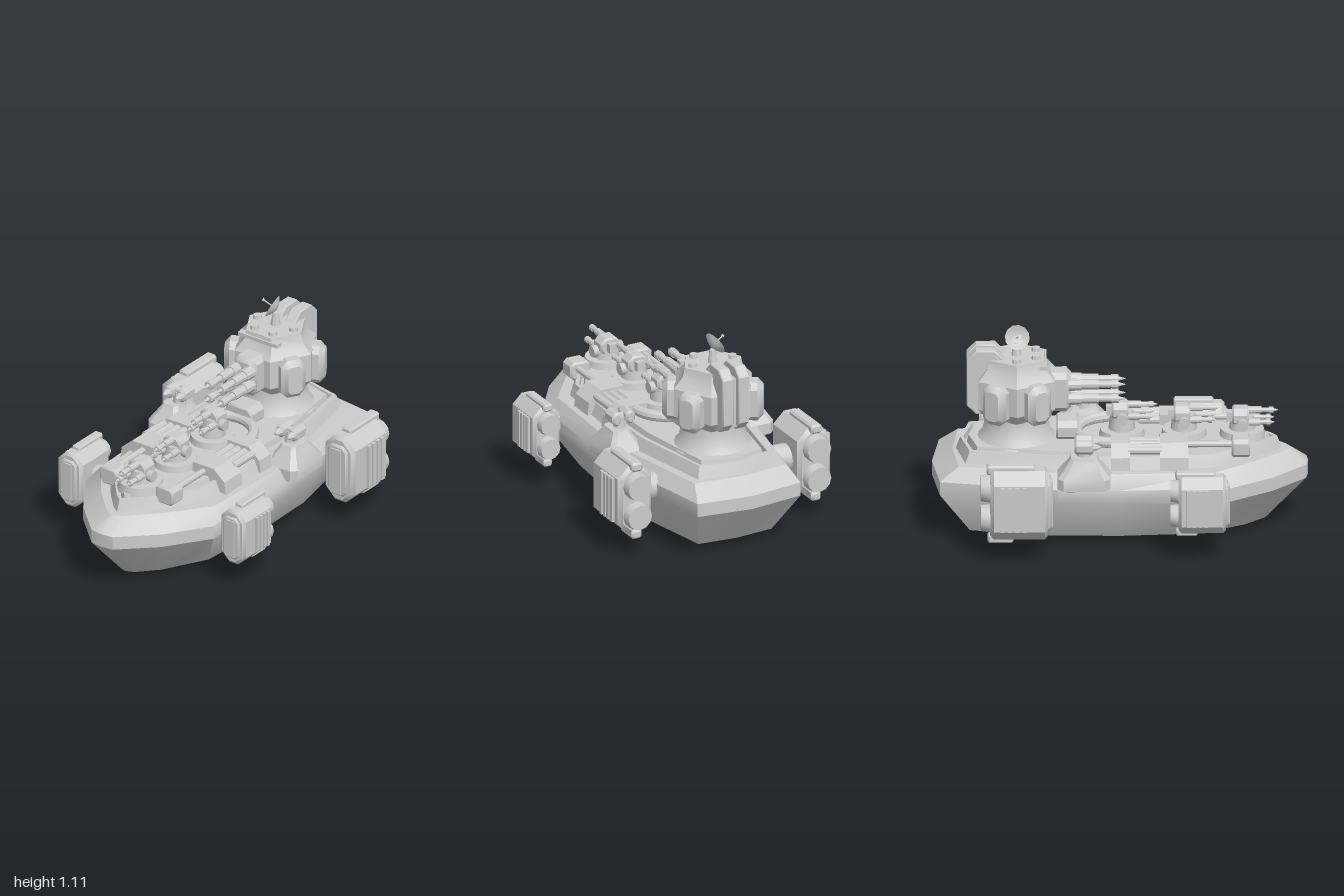
import * as THREE from 'three';
import { toCreasedNormals } from 'three/addons/utils/BufferGeometryUtils.js';

const material = new THREE.MeshStandardMaterial({ color: 0xcccccc, side: THREE.DoubleSide });

function add(parent, name, geo, x = 0, y = 0, z = 0) {
  const mesh = new THREE.Mesh(toCreasedNormals(geo, 0.6), material);
  mesh.name = name;
  mesh.position.set(x, y, z);
  parent.add(mesh);
  return mesh;
}
function group(parent, name, x = 0, y = 0, z = 0) {
  const g = new THREE.Group();
  g.name = name;
  g.position.set(x, y, z);
  parent.add(g);
  return g;
}
const box = (w, h, d) => new THREE.BoxGeometry(w, h, d);
const cyl = (top, bottom, h, n = 16) => new THREE.CylinderGeometry(top, bottom, h, n);
const cylZ = (front, back, l, n = 10) => cyl(front, back, l, n).rotateX(Math.PI / 2);
const cylX = (r, l, n = 12) => cyl(r, r, l, n).rotateZ(Math.PI / 2);

// Box with cut corners in XY and a bevel on both ends in z
function cutBox(w, h, d, c, b = 0.01) {
  const x = w / 2, y = h / 2;
  const pts = [[x - c, -y], [x, c - y], [x, y - c], [x - c, y], [c - x, y], [-x, y - c], [-x, c - y], [c - x, -y]];
  const shape = new THREE.Shape(pts.map(p => new THREE.Vector2(...p)));
  const geo = new THREE.ExtrudeGeometry(shape, {
    depth: d - 2 * b, bevelSize: b, bevelThickness: b, bevelOffset: -b, bevelSegments: 1
  });
  return geo.translate(0, 0, b - d / 2);
}

// Skin over levels [y, half outline of [x, z] from bow to stern], mirrored in x
function loft(levels) {
  const pos = [], idx = [];
  let n = 0;
  for (const [y, half] of levels) {
    const ring = [...half, ...half.slice(1, -1).reverse().map(([x, z]) => [-x, z])];
    n = ring.length;
    ring.forEach(([x, z]) => pos.push(x, y, z));
  }
  const top = (levels.length - 1) * n, low = pos.length / 3;
  pos.push(0, levels[0][0], 0, 0, levels.at(-1)[0], 0);
  for (let i = 0; i < n; i++) {
    const k = (i + 1) % n;
    for (let b = 0; b < top; b += n) idx.push(b + i, b + k, b + n + k, b + i, b + n + k, b + n + i);
    idx.push(low, k, i, low + 1, top + i, top + k);
  }
  const geo = new THREE.BufferGeometry();
  geo.setAttribute('position', new THREE.Float32BufferAttribute(pos, 3));
  geo.setIndex(idx);
  return geo;
}
const octagon = (w, l, c) => [[0, l], [w - c, l], [w, l - c], [w, c - l], [w - c, -l], [0, -l]];

function barrel(parent, x, y, z, r, length) {
  const g = group(parent, 'barrel', x, y, z);
  add(g, 'sleeve', cylZ(r, r, length * 0.45), 0, 0, length * 0.225);
  add(g, 'tube', cylZ(r * 0.7, r * 0.7, length * 0.4), 0, 0, length * 0.6);
  add(g, 'muzzle', cylZ(r * 0.9, r * 0.9, length * 0.15), 0, 0, length * 0.78);
  add(g, 'tip', cylZ(0.002, r * 0.55, length * 0.18), 0, 0, length * 0.91);
}

function deckTurret(parent, z, gunY) {
  const g = group(parent, 'deckTurret', 0, 0, z);
  add(g, 'turntable', cyl(0.115, 0.125, 0.05, 24), 0, 0.505, 0);
  add(g, 'pedestal', cyl(0.06, 0.075, gunY - 0.5, 12), 0, (gunY + 0.5) / 2, 0);
  add(g, 'gunHousing', cutBox(0.12, 0.1, 0.09, 0.03), 0, gunY, -0.01);
  add(g, 'housingBack', box(0.05, 0.05, 0.04), 0, gunY, -0.065);
  for (const s of [-1, 1]) {
    add(g, 'trunnion', cylX(0.032, 0.035), s * 0.072, gunY - 0.03, 0);
    barrel(g, s * 0.037, gunY - 0.025, 0.03, 0.02, 0.14);
  }
  barrel(g, 0, gunY + 0.03, 0.03, 0.02, 0.16);
}

function enginePod(parent, side, y, z, scale) {
  const g = group(parent, 'enginePod', side * 0.54, y, z);
  g.scale.setScalar(scale);
  add(g, 'casing', cutBox(0.2, 0.39, 0.31, 0.065, 0.02), 0, 0, 0.015);
  add(g, 'intakeFrame', cutBox(0.13, 0.3, 0.04, 0.03), 0, 0, 0.165);
  add(g, 'intake', box(0.06, 0.26, 0.02), 0, 0, 0.185);
  add(g, 'topCap', cutBox(0.065, 0.05, 0.26, 0.01), 0, 0.195, -0.03);
  add(g, 'bottomCap', cutBox(0.06, 0.05, 0.14, 0.01), 0, -0.195, -0.085);
  for (let i = 0; i < 4; i++)
    add(g, 'louvre', box(0.035, 0.25, 0.025), side * 0.1, 0, 0.04 - i * 0.038);
  for (const s of [-1, 1])
    add(g, 'thruster', cylZ(0.08, 0.07, 0.07, 12), 0, s * 0.085, -0.155);
  add(g, 'strut', cylX(0.075, 0.16), -side * 0.14, 0, 0);
}

function sponson(parent, side) {
  const g = group(parent, 'sponson', side * 0.39, 0, -0.195);
  add(g, 'sponsonBase', loft([
    [0.34, octagon(0.06, 0.12, 0.03)], [0.36, octagon(0.105, 0.14, 0.03)], [0.42, octagon(0.105, 0.14, 0.03)],
    [0.5, octagon(0.055, 0.08, 0.02)], [0.52, octagon(0.05, 0.07, 0.02)]]));
  add(g, 'gunMount', cyl(0.03, 0.04, 0.07, 8), -side * 0.02, 0.545, 0);
  add(g, 'gunShaft', cylX(0.02, 0.1), -side * 0.02, 0.58, 0);
  for (const s of [-1, 1]) {
    const x = s * 0.041 - side * 0.02;
    add(g, 'gunPod', cutBox(0.055, 0.075, 0.1, 0.02), x, 0.58, 0);
    add(g, 'gunNose', cylZ(0.008, 0.024, 0.04, 8), x, 0.58, 0.068);
  }
}

function mainTurret(parent) {
  const g = group(parent, 'mainTurret', 0, 0, -0.55);
  const lathe = (pts, n, start = 0) =>
    new THREE.LatheGeometry(pts.map(p => new THREE.Vector2(...p)), n, start);
  add(g, 'pedestal', lathe([[0.22, 0.48], [0.185, 0.52], [0.165, 0.6], [0.165, 0.64]], 24));
  add(g, 'body', lathe([[0, 0.61], [0.18, 0.62], [0.235, 0.68], [0.235, 0.84], [0.18, 0.9], [0.17, 0.95], [0, 0.95]],
    6, Math.PI / 6));
  // armour pods on the four diagonal faces
  for (const a of [60, 120, 240, 300]) {
    const pod = add(g, 'armourPod', cutBox(0.14, 0.22, 0.12, 0.035, 0.03));
    const t = THREE.MathUtils.degToRad(a);
    pod.position.set(Math.sin(t) * 0.21, 0.74, Math.cos(t) * 0.21);
    pod.rotation.y = t;
  }
  // rear stowage slabs, profile in YZ
  for (const s of [-1, 1])
    add(g, 'rearSlab', cutBox(0.2, 0.36, 0.065, 0.05, 0.005).rotateY(Math.PI / 2), s * 0.048, 0.82, -0.165);
  add(g, 'rearSpine', box(0.1, 0.28, 0.15), 0, 0.8, -0.16);
  // front guns
  add(g, 'mantlet', cutBox(0.15, 0.22, 0.16, 0.03, 0.025), 0, 0.755, 0.21);
  for (const x of [-0.042, 0.042]) for (const y of [0.715, 0.795]) {
    add(g, 'gunCollar', cylZ(0.033, 0.036, 0.07, 10), x, y, 0.31);
    barrel(g, x, y, 0.32, 0.027, 0.26);
  }
  // roof fittings
  add(g, 'visor', box(0.26, 0.02, 0.04), 0, 0.92, 0.14);
  for (let i = 0; i < 6; i++) {
    const t = i * Math.PI / 3 + Math.PI / 6;
    add(g, 'roofCap', cyl(0.022, 0.025, 0.02, 8), Math.sin(t) * 0.12, 0.96, Math.cos(t) * 0.12);
  }
  // radar
  add(g, 'radarMast', cyl(0.015, 0.03, 0.08, 8), 0, 0.98, 0);
  const radar = group(g, 'radar', 0, 1.045, 0);
  radar.quaternion.setFromUnitVectors(new THREE.Vector3(0, 1, 0), new THREE.Vector3(-0.85, 0.45, 0.2).normalize());
  add(radar, 'dish', lathe([[0, -0.01], [0.025, -0.005], [0.045, 0.005], [0.068, 0.02]], 12));
  add(radar, 'feedRod', cyl(0.004, 0.004, 0.08, 6), 0, 0.035, 0);
  add(radar, 'feedTip', cyl(0.01, 0.007, 0.01, 8), 0, 0.078, 0);
}

export function createModel() {
  const ship = new THREE.Group();
  ship.name = 'gunship';

  // hull
  const chine = [[0, 0.79], [0.05, 0.77], [0.15, 0.66], [0.28, 0.42], [0.31, 0], [0.3, -0.4], [0.22, -0.8], [0, -0.82]];
  const beam = [[0, 1], [0.07, 0.99], [0.26, 0.81], [0.425, 0.57], [0.445, 0], [0.435, -0.33], [0.31, -0.96], [0, -1]];
  const rail = [[0, 0.91], [0.05, 0.88], [0.2, 0.73], [0.375, 0.5], [0.395, 0], [0.385, -0.3], [0.275, -0.86], [0, -0.89]];
  const keel = chine.map(([x, z]) => [x * 0.03, z * 0.85]);
  add(ship, 'hull', loft([[0, keel], [0.035, chine], [0.27, beam], [0.345, beam], [0.42, rail]]));

  // raised deck with a groove inside its rim
  const deck = [[0, 0.865], [0.05, 0.83], [0.17, 0.7], [0.31, 0.5], [0.35, 0], [0.34, -0.33], [0.24, -0.83], [0, -0.88]];
  const inset = k => deck.map(([x, z]) => [x * (1 - k * 3), z * (1 - k)]);
  add(ship, 'raisedDeck', loft([[0.4, deck], [0.485, inset(0.035)], [0.485, inset(0.055)],
    [0.455, inset(0.06)], [0.455, inset(0.075)], [0.495, inset(0.085)]]));

  // deck beams, pipes and lockers on both sides
  const profile = [[0.13, 0.45], [0.35, 0.42], [0.34, 0.49], [0.27, 0.55], [0.13, 0.55]];
  for (const s of [-1, 1]) {
    const shape = new THREE.Shape(profile.map(([x, y]) => new THREE.Vector2(s * x, y)));
    for (const [z, d] of [[-0.05, 0.1], [0.21, 0.15]])
      add(ship, 'deckBeam', new THREE.ExtrudeGeometry(shape, { depth: d, bevelEnabled: false }), 0, 0, z);
    for (let i = 0; i < 4; i++)
      add(ship, 'deckPipe', cylZ(0.022, 0.022, 0.18), s * (0.155 + i * 0.045), 0.515, 0.13);
    add(ship, 'foreRod', cylZ(0.018, 0.018, 0.26), s * 0.2, 0.515, 0.47);
    add(ship, 'foreLocker', cutBox(0.12, 0.1, 0.1, 0.02), s * 0.185, 0.5, 0.64);
    sponson(ship, s);
    enginePod(ship, s, 0.315, -0.555, 1);
    enginePod(ship, s, 0.31, 0.42, 0.82);
  }

  // curved pipe behind the last deck turret
  add(ship, 'curvedPipe', new THREE.TorusGeometry(0.19, 0.03, 10, 24, Math.PI).rotateX(-Math.PI / 2), 0, 0.52, -0.04);
  add(ship, 'deckHousing', cutBox(0.18, 0.11, 0.12, 0.03), 0, 0.54, -0.28);

  deckTurret(ship, 0.65, 0.6);
  deckTurret(ship, 0.34, 0.615);
  deckTurret(ship, 0.01, 0.635);
  mainTurret(ship);
  return ship;
}
